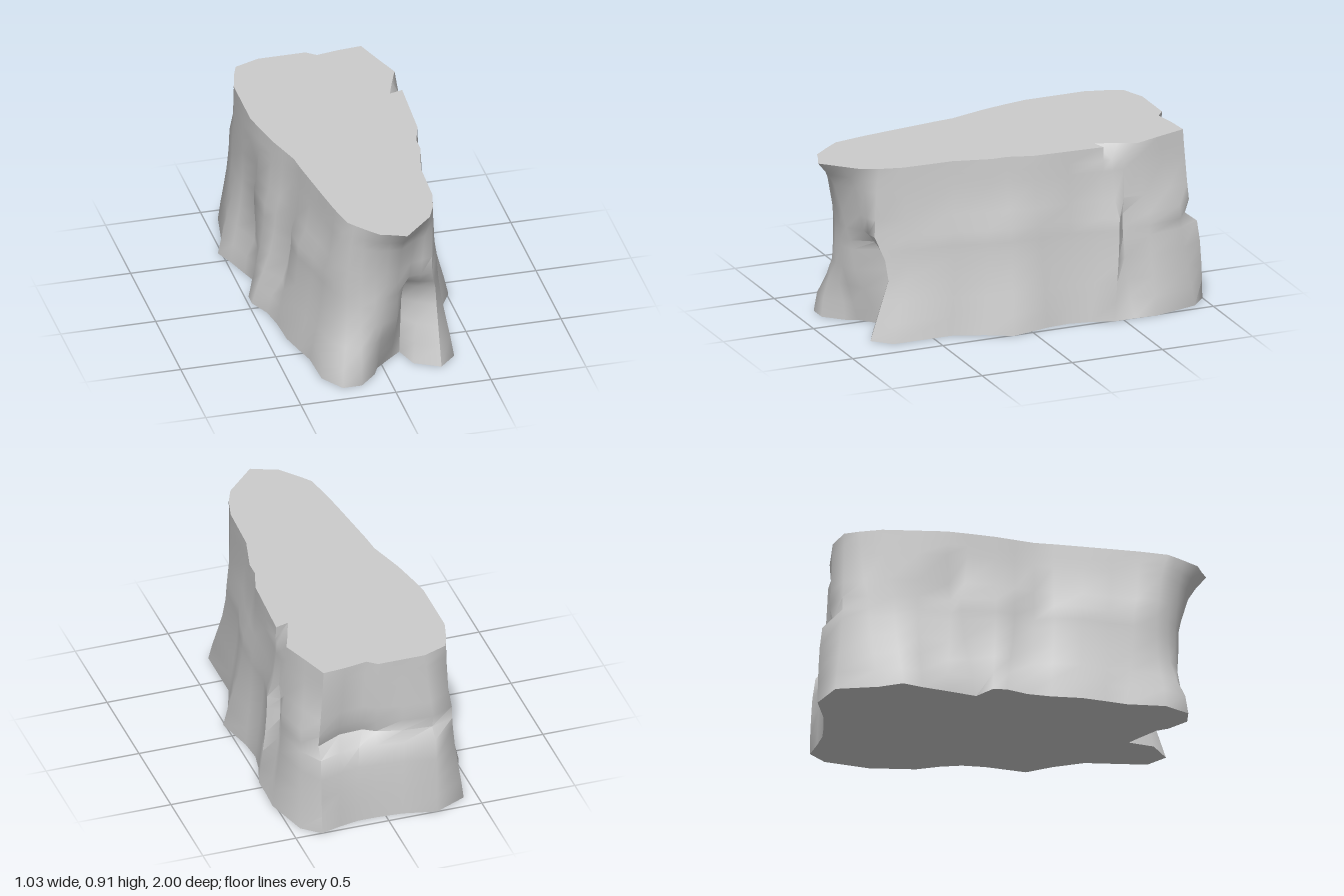
import * as THREE from 'three';
import { toCreasedNormals } from 'three/addons/utils/BufferGeometryUtils.js';

const HEIGHT = 0.91;

// Matching [x, z] outlines, from the front tip round by the -x side, the back and the +x side
const TOP = [
  [.06, 1], [-.01, .97], [-.07, .95], [-.13, .88], [-.17, .83], [-.2, .79], [-.23, .64], [-.25, .5],
  [-.27, .35], [-.29, .2], [-.3, .1], [-.33, 0], [-.36, -.1], [-.39, -.24], [-.41, -.35], [-.41, -.5],
  [-.41, -.68], [-.38, -.79], [-.35, -.87], [-.22, -.92], [-.1, -.92], [.03, -.92], [.08, -.88], [.2, -.9],
  [.32, -.91], [.37, -.76], [.42, -.62], [.38, -.52], [.34, -.41], [.41, -.43], [.4, -.24], [.39, -.05],
  [.35, .08], [.35, .16], [.3, .36], [.29, .63], [.26, .75], [.22, .84], [.15, .91],
];
const MIDDLE = [
  [.05, .84], [-.01, .85], [-.07, .85], [-.14, .83], [-.2, .79], [-.25, .73], [-.28, .61], [-.3, .48],
  [-.34, .34], [-.34, .2], [-.34, .1], [-.37, 0], [-.4, -.1], [-.41, -.28], [-.4, -.33], [-.41, -.5],
  [-.41, -.62], [-.4, -.75], [-.38, -.88], [-.26, -.94], [-.1, -.92], [.03, -.89], [.1, -.86], [.22, -.87],
  [.35, -.93], [.42, -.85], [.46, -.66], [.45, -.53], [.48, -.49], [.45, -.4], [.41, -.24], [.42, -.08],
  [.41, .08], [.39, .2], [.34, .36], [.32, .6], [.25, .77], [.19, .78], [.13, .78],
];
const BASE = [
  [.06, .66], [-.03, .74], [-.06, .8], [-.15, .89], [-.25, .89], [-.33, .77], [-.34, .57], [-.37, .46],
  [-.4, .34], [-.41, .18], [-.43, .06], [-.48, -.05], [-.48, -.12], [-.39, -.2], [-.44, -.35], [-.48, -.48],
  [-.52, -.58], [-.47, -.7], [-.43, -.92], [-.26, -1], [-.09, -.96], [.05, -.95], [.15, -.95], [.25, -.97],
  [.36, -1], [.45, -.92], [.515, -.68], [.51, -.56], [.51, -.45], [.47, -.33], [.45, -.22], [.46, -.1],
  [.51, .11], [.44, .24], [.38, .4], [.38, .72], [.29, .81], [.16, .74], [.12, .61],
];
// Deepest section of the hollow under the front overhang, by outline position
const HOLLOW = { 0: [.06, .8], 1: [-.02, .83], 36: [.29, .71], 37: [.2, .66], 38: [.13, .61] };
const HOLLOW_Y = 0.31;
const N = TOP.length;

// Heights with the pull towards the base (below) or the top (above):
// general walls, front (-x foot below, overhang above), back ledge
const LEVELS = [
  { y: 0, wall: 1, front: 1, back: 1 },
  { y: .1, wall: .78, front: .85, back: .98 },
  { y: .2, wall: .52, front: .42, back: .92 },
  { y: HOLLOW_Y, wall: .25, front: .1, back: .82 },
  { y: .42, wall: .08, front: 0, back: .6 },
  { y: .47, wall: .03, front: 0, back: -.3 },
  { y: .54, wall: 0, front: 0, back: 0 },
  { y: .63, up: true, wall: .55, front: .15, back: .3 },
  { y: .78, up: true, wall: .85, front: .42, back: .7 },
  { y: .84, up: true, wall: .92, front: .65, back: .85 },
  { y: HEIGHT, up: true, wall: 1, front: 1, back: 1 },
];

const mix = (a, b, t) => [a[0] + (b[0] - a[0]) * t, a[1] + (b[1] - a[1]) * t];

function levelPoint({ y, up, wall, front, back }, i) {
  // Hollow between the two front feet
  if (!up && HOLLOW[i]) {
    const [x, z] = y < HOLLOW_Y
      ? mix(BASE[i], HOLLOW[i], y / HOLLOW_Y)
      : mix(HOLLOW[i], MIDDLE[i], Math.max(0, (y - .38) / .16));
    return [x, y, z];
  }
  const isFront = i <= 5 || i >= 36;
  const isBack = i >= 19 && i <= 24;
  const weight = isFront ? front : isBack ? back : wall;
  let end = up ? TOP[i] : BASE[i];
  // The nick in the +x rim is shallow, so the wall below it is full
  if (up && y < HEIGHT && (i === 27 || i === 28)) end = [.415, i === 27 ? -.54 : -.47];
  let [x, z] = mix(MIDDLE[i], end, weight);
  // Cracks in both long walls and a pocket in the -x wall
  if (i === 14 && y > .15 && y < .64) x += .03;
  if (i === 27 && y > .05 && y < .6) x -= .03;
  if (i === 10 && y > .15 && y < .6) x += .035;
  return [x, y, z];
}

// Rugged wall, smooth apart from its sharp creases
function wallGeometry() {
  const positions = [], index = [];
  LEVELS.forEach((level, j) => {
    for (let i = 0; i < N; i++) {
      positions.push(...levelPoint(level, i));
      if (j === LEVELS.length - 1) continue;
      const a = j * N + i, b = j * N + (i + 1) % N;
      index.push(a, a + N, b, b, a + N, b + N);
    }
  });
  const geometry = new THREE.BufferGeometry();
  geometry.setAttribute('position', new THREE.Float32BufferAttribute(positions, 3));
  geometry.setIndex(index);
  return toCreasedNormals(geometry, 1.05);
}

// Flat cap filling an outline, facing up or down
function capGeometry(outline, y, up) {
  const points = outline.map(([x, z]) => new THREE.Vector2(x, z));
  const index = [];
  for (const [a, b, c] of THREE.ShapeUtils.triangulateShape(points, [])) {
    const area = points[b].clone().sub(points[a]).cross(points[c].clone().sub(points[a]));
    index.push(...((area < 0) === up ? [a, b, c] : [a, c, b]));
  }
  const geometry = new THREE.BufferGeometry();
  const positions = outline.flatMap(([x, z]) => [x, y, z]);
  geometry.setAttribute('position', new THREE.Float32BufferAttribute(positions, 3));
  geometry.setIndex(index);
  geometry.computeVertexNormals();
  return geometry;
}

export function createModel() {
  const stone = new THREE.MeshStandardMaterial({ color: 0xcccccc });
  stone.name = 'grey stone';
  const group = new THREE.Group();
  group.name = 'cliffRock';
  const add = (name, geometry) => {
    const mesh = new THREE.Mesh(geometry, stone);
    mesh.name = name;
    group.add(mesh);
  };
  add('rockWall', wallGeometry());
  add('flatTop', capGeometry(TOP, HEIGHT, true));
  add('underside', capGeometry(BASE, 0, false));
  return group;
}
